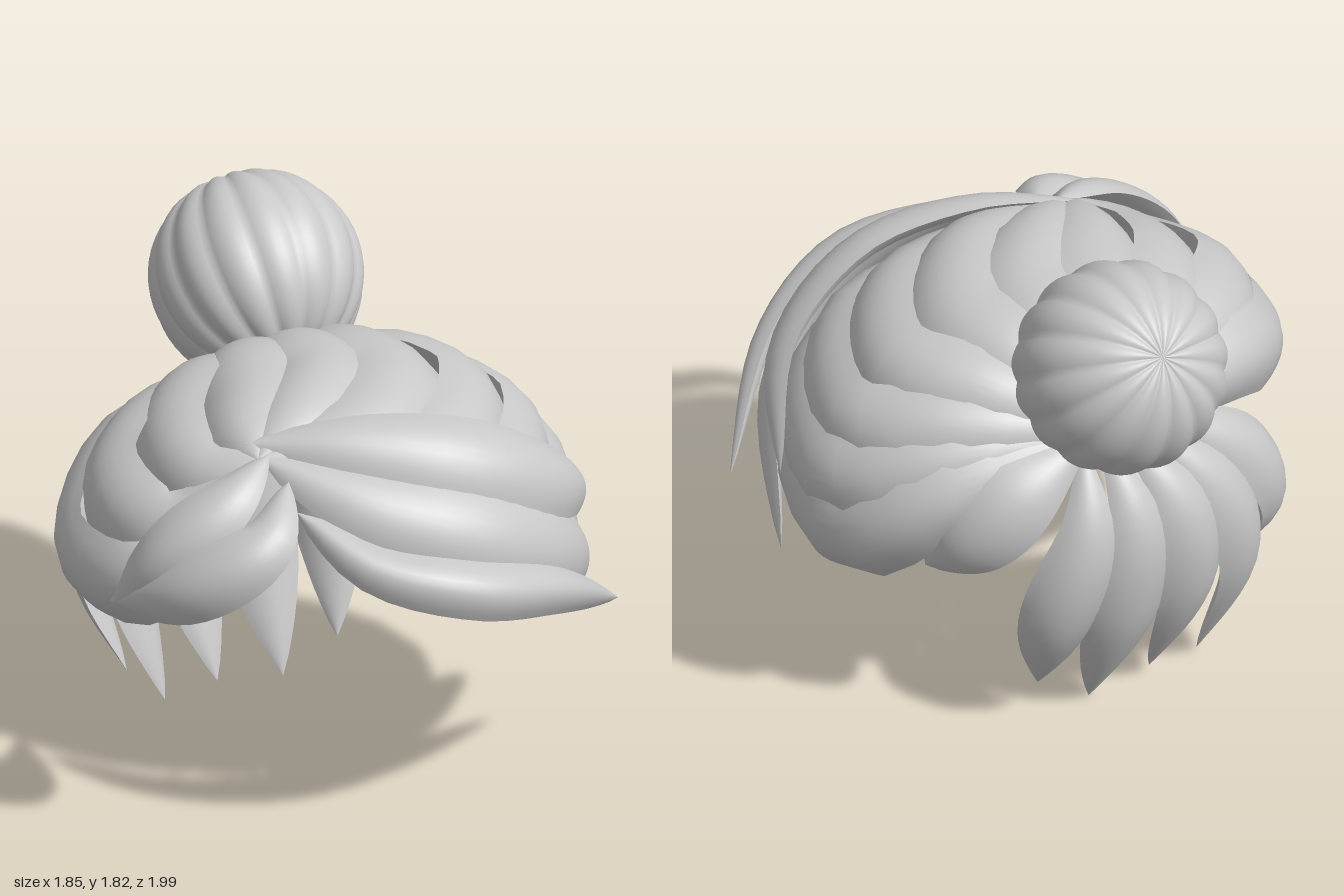
import * as THREE from 'three';

const hair = new THREE.MeshStandardMaterial({ color: 0xc8c8c8, side: THREE.DoubleSide });
hair.name = 'hair grey';

const HEAD = new THREE.Vector3(0, 0.75, 0);
const CROWN = [0.03, 1.13, -0.55]; // where everything is gathered under the bun
const PARTING = [-0.38, 1.34, 0.38]; // where the combed locks start

// Pointed leaf-shaped lock swept along a path, bulging away from the head.
// peak is the place along the path where it is widest.
function lock(name, points, halfWidth, bulge, { peak = 0.5, power = 0.75, inner = 0.4, centre = HEAD } = {}) {
  const curve = new THREE.CatmullRomCurve3(points.map((p) => new THREE.Vector3(...p)), false, 'centripetal');
  const rows = 20, cols = 10;
  const pos = [], index = [];
  const warp = Math.log(0.5) / Math.log(peak);
  for (const side of [1, -1]) {
    const base = pos.length / 3;
    for (let i = 0; i <= rows; i++) {
      const t = i / rows;
      const p = curve.getPointAt(t);
      const tangent = curve.getTangentAt(t);
      const out = p.clone().sub(centre);
      out.addScaledVector(tangent, -out.dot(tangent)).normalize();
      const across = new THREE.Vector3().crossVectors(out, tangent);
      const s = Math.pow(Math.max(Math.sin(Math.PI * Math.pow(t, warp)), 1e-5), power);
      for (let j = 0; j <= cols; j++) {
        const u = (j / cols) * 2 - 1;
        const h = (1 - u * u) * bulge * s * (side > 0 ? 1 : -inner);
        const v = p.clone().addScaledVector(across, u * halfWidth * s).addScaledVector(out, h);
        pos.push(v.x, v.y, v.z);
      }
    }
    for (let i = 0; i < rows; i++) {
      for (let j = 0; j < cols; j++) {
        const a = base + i * (cols + 1) + j, b = a + 1, c = a + cols + 1, d = c + 1;
        if (side > 0) index.push(a, b, c, b, d, c);
        else index.push(a, c, b, b, c, d);
      }
    }
  }
  const geo = new THREE.BufferGeometry();
  geo.setAttribute('position', new THREE.Float32BufferAttribute(pos, 3));
  geo.setIndex(index);
  geo.computeVertexNormals();
  const mesh = new THREE.Mesh(geo, hair);
  mesh.name = name;
  return mesh;
}

// Halfway between a point and the crown, pushed out to the skull ellipsoid
function backPoint(m) {
  const r = [0.86, 0.7, 0.65], c = [0, 0.75, 0];
  const d = m.map((v, k) => (v * 0.55 + CROWN[k] * 0.45 - c[k]) / r[k]);
  const len = Math.hypot(...d);
  return d.map((v, k) => c[k] + (v / len) * r[k]);
}

// Ball of rounded lobes with its pole tipped up and back
function makeBun() {
  const lobes = 15, R = 0.365;
  const geo = new THREE.SphereGeometry(1, lobes * 8, 28);
  const pos = geo.attributes.position;
  const v = new THREE.Vector3();
  for (let i = 0; i < pos.count; i++) {
    v.fromBufferAttribute(pos, i);
    const ripple = Math.abs(Math.sin(Math.PI * (i % (lobes * 8 + 1)) / 8));
    const s = Math.hypot(v.x, v.z);
    v.multiplyScalar(R * (1 - 0.045 * (1 - ripple) * Math.sqrt(s) - 0.06 * Math.pow(1 - s, 3)));
    pos.setXYZ(i, v.x, v.y, v.z);
  }
  geo.computeVertexNormals();
  const bun = new THREE.Mesh(geo, hair);
  bun.name = 'bun';
  bun.rotation.x = -0.9;
  bun.position.set(0.05, 1.46, -0.635);
  return bun;
}

export function createModel() {
  const model = new THREE.Group();
  model.name = 'hair';
  model.add(makeBun());

  // Locks combed from the parting back to the crown: front point, middle point, half width, bulge.
  // The lowest lock on each side curls under.
  const combed = new THREE.Group();
  combed.name = 'combedLocks';
  const under = new THREE.Vector3(0, 1, 0);
  const strands = [
    [[-0.75, 0.95, 0.36], [-0.84, 0.89, -0.04], 0.175, 0.09, under],
    [[-0.67, 1.11, 0.32], [-0.75, 1.13, -0.02], 0.175, 0.07],
    [[-0.53, 1.27, 0.26], [-0.54, 1.29, 0], 0.17, 0.065],
    [[-0.37, 1.37, 0.22], [-0.27, 1.39, 0], 0.165, 0.06],
    [[-0.2, 1.40, 0.26], [0.02, 1.42, 0], 0.165, 0.06],
    [[0.05, 1.37, 0.35], [0.3, 1.37, 0], 0.17, 0.065],
    [[0.28, 1.26, 0.42], [0.55, 1.26, 0], 0.17, 0.07],
    [[0.43, 1.12, 0.5], [0.73, 1.10, -0.02], 0.165, 0.07],
    [[0.52, 0.97, 0.53], [0.83, 0.93, -0.04], 0.165, 0.07],
    [[0.56, 0.86, 0.5], [0.82, 0.71, -0.07], 0.19, 0.09, under],
  ];
  strands.forEach(([f, m, w, h, centre], i) => {
    combed.add(lock('combedLock' + (i + 1), [PARTING, f, m, backPoint(m), CROWN], w, h, { power: 0.6, centre }));
  });
  model.add(combed);

  // Locks hanging over the nape: bend point, low point, tip, half width
  const nape = new THREE.Group();
  nape.name = 'napeLocks';
  const hanging = [
    [[-0.47, 0.88, -0.56], [-0.62, 0.58, -0.51], [-0.55, 0.23, -0.34], 0.13],
    [[-0.30, 0.86, -0.66], [-0.42, 0.50, -0.64], [-0.35, 0.01, -0.48], 0.135],
    [[-0.14, 0.86, -0.71], [-0.19, 0.50, -0.69], [-0.15, 0.03, -0.5], 0.14],
    [[0.04, 0.86, -0.71], [0.07, 0.50, -0.69], [0.09, 0.0, -0.5], 0.14],
    [[0.21, 0.86, -0.68], [0.31, 0.50, -0.64], [0.28, 0.12, -0.48], 0.13],
  ];
  const spine = new THREE.Vector3(-0.06, 0.6, 0);
  hanging.forEach(([a, b, tip, w], i) => {
    const start = [-0.1 + i * 0.06, 1.14, -0.54];
    nape.add(lock('napeLock' + (i + 1), [start, a, b, tip], w, 0.06,
      { peak: 0.54, power: 0.9, inner: 0.7, centre: spine }));
  });
  nape.add(lock('shortNapeLock', [[0.1, 1.14, -0.55], [0.39, 1.01, -0.57], [0.56, 0.85, -0.49], [0.65, 0.69, -0.36]],
    0.155, 0.06, { peak: 0.6, power: 0.75 }));
  model.add(nape);

  // Fringe swept to the left, in three layers
  const fringe = new THREE.Group();
  fringe.name = 'fringe';
  fringe.add(
    lock('upperFringeLock', [[-0.4, 1.37, 0.31], [-0.05, 1.37, 0.47], [0.33, 1.28, 0.56], [0.68, 1.08, 0.47], [0.91, 0.86, 0.14]],
      0.155, 0.07),
    lock('middleFringeLock', [[-0.37, 1.34, 0.38], [-0.05, 1.2, 0.64], [0.3, 1.07, 0.71], [0.65, 0.86, 0.56], [0.92, 0.56, 0.12]],
      0.17, 0.07, { power: 0.65 }),
    lock('lowerFringeLock', [[-0.32, 1.22, 0.57], [-0.14, 1.08, 0.81], [0.17, 0.99, 0.92], [0.53, 0.86, 0.8], [0.89, 0.61, 0.49]],
      0.1, 0.07, { peak: 0.42, power: 0.8, centre: new THREE.Vector3(0.1, 0.5, 0) }),
    // Shorter locks swept to the right
    lock('rightFringeLock', [[-0.31, 1.29, 0.48], [-0.48, 1.16, 0.66], [-0.7, 1.01, 0.58], [-0.88, 0.86, 0.28]],
      0.12, 0.06),
    lock('rightTempleLock', [[-0.34, 1.35, 0.38], [-0.54, 1.24, 0.47], [-0.74, 1.08, 0.44], [-0.88, 0.86, 0.3]],
      0.12, 0.06),
  );
  model.add(fringe);
  return model;
}
